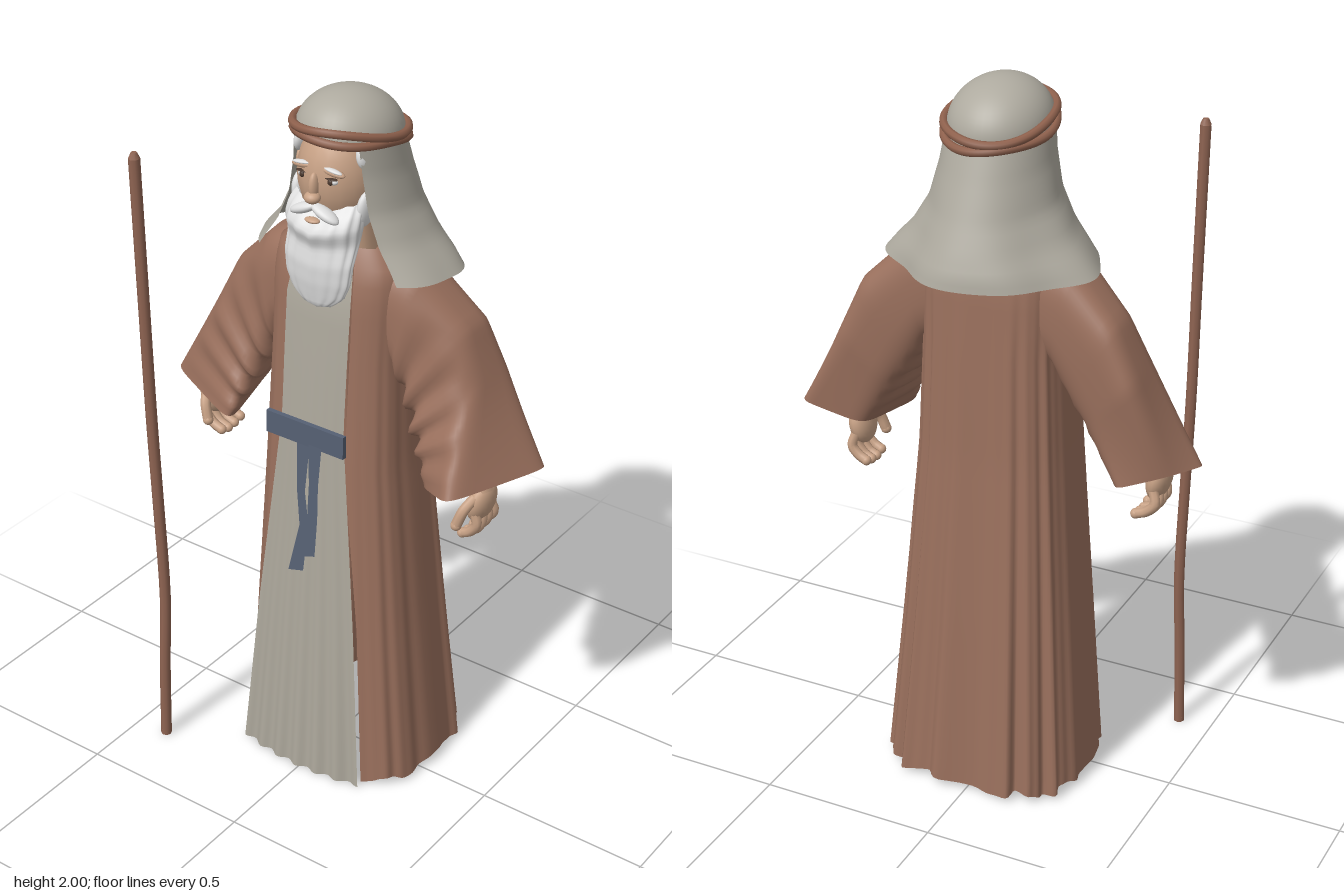
import * as THREE from 'three';
import { mergeVertices } from 'three/addons/utils/BufferGeometryUtils.js';

const mat = (name, color, side = THREE.FrontSide) =>
  Object.assign(new THREE.MeshStandardMaterial({ color, side }), { name });

// Linear lookup in rows [key, a, b, ...] sorted by descending key
function lookup(rows, k) {
  let i = 0;
  while (i < rows.length - 2 && k < rows[i + 1][0]) i++;
  const [p, q] = [rows[i], rows[i + 1]];
  const f = Math.min(1, Math.max(0, (p[0] - k) / (p[0] - q[0])));
  return p.map((v, j) => v + (q[j] - v) * f);
}

// Smooth sheet from a rule (u, v) -> [x, y, z]
function sheet(rule, nu, nv) {
  const pos = [], index = [];
  for (let j = 0; j <= nv; j++)
    for (let i = 0; i <= nu; i++) pos.push(...rule(i / nu, j / nv));
  for (let j = 0; j < nv; j++)
    for (let i = 0; i < nu; i++) {
      const a = j * (nu + 1) + i, b = a + nu + 1;
      index.push(a, b, a + 1, b, b + 1, a + 1);
    }
  const g = new THREE.BufferGeometry();
  g.setAttribute('position', new THREE.Float32BufferAttribute(pos, 3));
  g.setIndex(index);
  const merged = mergeVertices(g, 1e-5);
  merged.computeVertexNormals();
  return merged;
}

const tube = (pts, r, closed = false, n = 24, sides = 8) =>
  new THREE.TubeGeometry(new THREE.CatmullRomCurve3(pts.map(p => new THREE.Vector3(...p)), closed), n, r, sides, closed);

export function createModel() {
  const D = THREE.DoubleSide;
  const coat = mat('brown coat', 0x9a705d, D), linen = mat('linen tunic', 0xaca79b, D);
  const veilCloth = mat('grey headcloth', 0xaeaa9f, D), skin = mat('skin', 0xc7a185);
  const hair = mat('white hair', 0xdedede, D), slate = mat('slate belt', 0x566073, D);
  const wood = mat('staff wood', 0x8f6452), cord = mat('head cord', 0x8f614d);
  const dark = mat('dark eyes', 0x4a382e);

  const root = new THREE.Group();
  const add = (name, geo, m, parent = root) => {
    const mesh = new THREE.Mesh(geo, m);
    mesh.name = name;
    parent.add(mesh);
    return mesh;
  };
  const blob = (name, m, p, s, parent = root, rz = 0) => {
    const b = add(name, new THREE.SphereGeometry(1, 20, 14), m, parent);
    b.position.set(...p);
    b.scale.set(...s);
    b.rotation.z = rz;
    return b;
  };

  // Long open coat: y, half width, front z, back z, half opening, x shift
  const coatRows = [
    [1.61, 0.14, 0.04, -0.135, 0.078, 0], [1.57, 0.185, 0.065, -0.168, 0.09, 0],
    [1.5, 0.195, 0.085, -0.188, 0.1, 0], [1.3, 0.195, 0.1, -0.198, 0.1, 0],
    [1.0, 0.207, 0.12, -0.212, 0.1, 0], [0.5, 0.243, 0.138, -0.25, 0.15, 0.005],
    [0.01, 0.28, 0.163, -0.285, 0.175, 0.014]];
  const pw = (v, e) => Math.sign(v) * Math.abs(v) ** e;
  add('coat', sheet((u, v) => {
    const y = 1.61 - 1.6 * v;
    const [, a, zf, zb, open, dx] = lookup(coatRows, y);
    const t0 = Math.asin((open / a) ** (1 / 0.62));
    const t = t0 + u * (2 * Math.PI - 2 * t0), c = Math.cos(t);
    const back = Math.max(0, -c) + 0.3 * Math.abs(Math.sin(t));
    const fold = 1 + (0.012 + 0.05 * v) * back * (0.7 * Math.sin(17 * t) + 0.4 * Math.sin(29 * t + 1)) * Math.min(1, v * 5);
    const mid = (zf + zb) / 2, half = (zf - zb) / 2;
    // the front edge lies at the full front depth
    const depth = c > 0 ? Math.min(1, (c / Math.cos(t0)) ** 0.6) : pw(c, 0.7);
    return [dx + a * pw(Math.sin(t), 0.62) * fold, y + 0.008 * v ** 8 * (1 + Math.sin(9 * t)), mid + half * depth * fold];
  }, 150, 36), coat);

  // Pleated tunic front: y, half width, z
  const tunicRows = [[1.58, 0.085, 0.06], [1.48, 0.1, 0.095], [1.3, 0.1, 0.112], [1.1, 0.1, 0.128],
    [0.5, 0.16, 0.168], [0, 0.2, 0.2]];
  add('tunic', sheet((u, v) => {
    const y = 1.58 * (1 - v), [, w, z] = lookup(tunicRows, y), s = 2 * u - 1;
    return [s * w - 0.01 * v, y, z - 0.027 * s * s * v + 0.007 * v * v * Math.cos(s * 19)];
  }, 64, 26), linen);

  // Belt and hanging sash ends
  const belt = add('belt', new THREE.BoxGeometry(0.25, 0.066, 0.014), slate);
  belt.position.set(-0.013, 1.075, 0.137);
  [[[-0.018, 1.05, 0.042], [-0.02, 0.9, 0.026], [-0.006, 0.8, 0.03], [-0.028, 0.65, 0.05]],
    [[0.022, 1.05, 0.042], [0.022, 0.93, 0.03], [0.022, 0.83, 0.034], [0.013, 0.71, 0.044]]]
    .forEach((path, k) => add('sash end', sheet((u, v) => {
      const f = v * 3, i = Math.min(2, Math.floor(f)), [x, y, w] = path[i].map((c, j) => c + (path[i + 1][j] - c) * (f - i));
      return [x + (u - 0.5) * w, y + (u - 0.5) * 0.015 * v, lookup(tunicRows, y)[2] + 0.01 + 0.003 * k];
    }, 4, 15), slate));

  // Wide sleeves: inner x,y  outer x,y  front outer shift, back inner shift,
  // z of back inner, back outer, front outer, front inner
  const sleeveRows = side => [
    [0, 0.13, 1.3, 0.1, 1.595, 0, 0, -0.15, -0.15, 0.05, 0.05],
    [-0.12, 0.18, 1.27, 0.225, 1.562, 0, 0, -0.16, -0.16, 0.04, 0.055],
    [-0.35, 0.215, 1.2, 0.365, 1.425, 0, 0.005, -0.155, -0.18, 0.0, 0.055],
    [-0.55, 0.245, 1.13, 0.43, 1.29, side > 0 ? -0.02 : 0, 0.03, -0.155, -0.185, 0.01, 0.065],
    side > 0 ? [-1, 0.305, 1.0, 0.57, 1.04, -0.125, 0.06, -0.15, -0.16, 0.16, 0.07]
      : [-1, 0.3, 0.99, 0.505, 1.03, 0.075, 0.08, -0.18, -0.13, -0.01, 0.1]];
  for (const side of [1, -1]) {
    const rows = sleeveRows(side);
    add(side > 0 ? 'leftSleeve' : 'rightSleeve', sheet((u, v) => {
      const [, ix, iy, ox, oy, shift, tuck, zib, zob, zof, zif] = lookup(rows, -v);
      const t = u === 1 ? 0 : u * 2 * Math.PI, e = 0.8 - 0.45 * v;
      const crease = 1 + 0.08 * Math.sin(v * 34 + 2 * Math.sin(t)) * Math.max(0, Math.sin(t) - Math.cos(t)) * Math.sin(Math.PI * v);
      const o = 0.5 + 0.5 * pw(Math.cos(t), e) * crease, f = 0.5 + 0.5 * pw(Math.sin(t), e) * crease;
      return [side * ((ix + tuck * (1 - f)) * (1 - o) + (ox + shift * f) * o), iy + (oy - iy) * o,
        (zib * (1 - o) + zob * o) * (1 - f) + (zif * (1 - o) + zof * o) * f];
    }, 48, 32), coat);

    // Forearm, palm and curled fingers
    const hand = new THREE.Group();
    hand.name = side > 0 ? 'leftHand' : 'rightHand';
    root.add(hand);
    const X = side > 0 ? 0.432 : 0.455, Y = side > 0 ? 0 : 0.03, curl = side > 0 ? 0.035 : 0.045;
    add('forearm', tube([[side * 0.34, 1.24, -0.06], [side * 0.4, 1.1, -0.04], [side * X, 0.98 + Y, -0.03]], 0.034), skin, hand);
    blob('palm', skin, [side * X, 0.945 + Y, -0.035], [0.032, 0.062, 0.054], hand, side * -0.2);
    for (let f = 0; f < 4; f++) {
      const z = 0.0 - f * 0.028, low = 0.832 + Y + Math.abs(f - 1.3) * 0.007;
      add('finger', tube([[side * X, 0.925 + Y, z * 0.9], [side * (X + 0.008), 0.89 + Y, z],
        [side * (X - curl * 0.35), low + 0.02, z], [side * (X - curl), low + 0.008, z]], 0.014, false, 12), skin, hand);
      blob('fingertip', skin, [side * (X - curl), low + 0.008, z], [0.014, 0.014, 0.014], hand);
    }
    add('thumb', tube([[side * X, 0.97 + Y, 0], [side * (X - 0.015), 0.94 + Y, 0.03], [side * (X - 0.03), 0.895 + Y, 0.04]], 0.015, false, 12), skin, hand);
    blob('thumbTip', skin, [side * (X - 0.03), 0.895 + Y, 0.04], [0.015, 0.015, 0.015], hand);
  }

  // Head and face
  const head = new THREE.Group();
  head.name = 'head';
  root.add(head);
  blob('skull', skin, [0, 1.79, -0.005], [0.11, 0.15, 0.118], head);
  const neck = add('neck', new THREE.CylinderGeometry(0.06, 0.08, 0.16, 20), skin, head);
  neck.position.set(0, 1.64, -0.03);
  blob('noseBridge', skin, [0, 1.785, 0.111], [0.013, 0.037, 0.018], head);
  blob('noseTip', skin, [0, 1.757, 0.119], [0.022, 0.016, 0.021], head);
  for (const s of [1, -1]) {
    blob('ear', skin, [s * 0.117, 1.78, -0.005], [0.015, 0.04, 0.026], head, s * -0.2);
    blob('eye', hair, [s * 0.043, 1.803, 0.094], [0.017, 0.009, 0.012], head);
    blob('iris', dark, [s * 0.043, 1.803, 0.103], [0.008, 0.008, 0.005], head);
    blob('upperLid', dark, [s * 0.043, 1.812, 0.1], [0.02, 0.0025, 0.009], head);
    blob('browRidge', skin, [s * 0.045, 1.828, 0.093], [0.036, 0.01, 0.014], head, s * -0.12);
    blob('brow', hair, [s * 0.048, 1.834, 0.098], [0.028, 0.005, 0.009], head, s * -0.12);
    blob('moustache', hair, [s * 0.033, 1.718, 0.111], [0.044, 0.014, 0.021], head, s * -0.4);
    blob('sideburn', hair, [s * 0.1, 1.72, 0.03], [0.018, 0.05, 0.035], head, s * -0.1);
    blob('templeHair', hair, [s * 0.096, 1.862, 0.03], [0.016, 0.035, 0.03], head, s * 0.2);
  }
  blob('lip', skin, [0, 1.695, 0.12], [0.022, 0.007, 0.014], head);

  // Beard: y, half width, front z, back z
  const beardRows = [[1.715, 0.1, 0.085, 0.0], [1.69, 0.108, 0.118, 0.0], [1.66, 0.11, 0.14, 0.0],
    [1.62, 0.104, 0.122, 0.02], [1.57, 0.102, 0.13, 0.055], [1.52, 0.096, 0.127, 0.065],
    [1.48, 0.078, 0.12, 0.075], [1.455, 0.045, 0.115, 0.085], [1.445, 0.002, 0.105, 0.1]];
  add('beard', sheet((u, v) => {
    const y = 1.715 - 0.27 * v, [, w, zf, zb] = lookup(beardRows, y);
    const t = u === 1 ? 0 : u * 2 * Math.PI, r = 1 + 0.025 * Math.sin(14 * t + 3 * v);
    return [w * Math.sin(t) * r, y + 0.025 * Math.abs(Math.sin(t)) * (1 - v), (zf + zb) / 2 + (zf - zb) / 2 * Math.cos(t) * r];
  }, 84, 27), hair, head);

  // Headcloth cap and open veil
  const cap = add('headclothCap', new THREE.SphereGeometry(1, 40, 16, 0, Math.PI * 2, 0, Math.PI / 2 + 0.08), veilCloth);
  cap.scale.set(0.134, 0.116, 0.153);
  cap.position.set(0, 1.884, -0.042);
  cap.rotation.x = -0.19;
  // veil rows: y, half width, half depth, centre z
  const veilRows = [[1.89, 0.134, 0.152, -0.042], [1.8, 0.145, 0.166, -0.06], [1.7, 0.168, 0.187, -0.077],
    [1.62, 0.215, 0.208, -0.09], [1.57, 0.262, 0.22, -0.097], [1.53, 0.296, 0.226, -0.098]];
  add('veil', sheet((u, v) => {
    const t = 0.82 + u * (2 * Math.PI - 1.64), c = Math.cos(t);
    const y = 1.89 - 0.355 * v, [, rx, rz, cz] = lookup(veilRows, y);
    // the back quarters are drawn in, the hem ripples
    const fold = 1 + 0.02 * v * v * Math.sin(7 * t + 0.6) - (c < 0 ? 0.11 * v * v * Math.sin(2 * t) ** 2 : 0);
    return [rx * Math.sin(t) * fold, y + 0.03 * c * (1 - v) + 0.012 * v * c, cz + rz * c * fold];
  }, 72, 20), veilCloth);

  // Head cord of two strands lying side by side
  for (const k of [1, -1]) {
    const pts = [];
    for (let i = 0; i < 32; i++) {
      const t = i / 32 * Math.PI * 2, z = 0.159 * Math.cos(t), r = 0.137 + 0.003 * Math.cos(3 * t + k);
      pts.push([r * Math.sin(t), 1.892 + 0.19 * z + k * (0.011 + 0.004 * Math.sin(3 * t)), -0.044 + z]);
    }
    add('headCord', tube(pts, 0.0115, true, 96), cord);
  }

  // Crooked walking staff
  const staffPath = [[-0.403, 0, 0.305], [-0.397, 0.25, 0.303], [-0.39, 0.48, 0.297], [-0.397, 0.8, 0.299],
    [-0.403, 1.05, 0.302], [-0.405, 1.4, 0.308], [-0.41, 1.825, 0.312]];
  add('staff', tube(staffPath, 0.0155, false, 30, 8), wood);
  for (const [p, up] of [[staffPath[0], 0], [staffPath[6], 1]]) {
    const end = add('staffEnd', new THREE.CylinderGeometry(up ? 0.008 : 0.0155, 0.0155, 0.016, 8), wood);
    end.position.set(p[0], p[1] + 0.008, p[2]);
  }
  return root;
}
